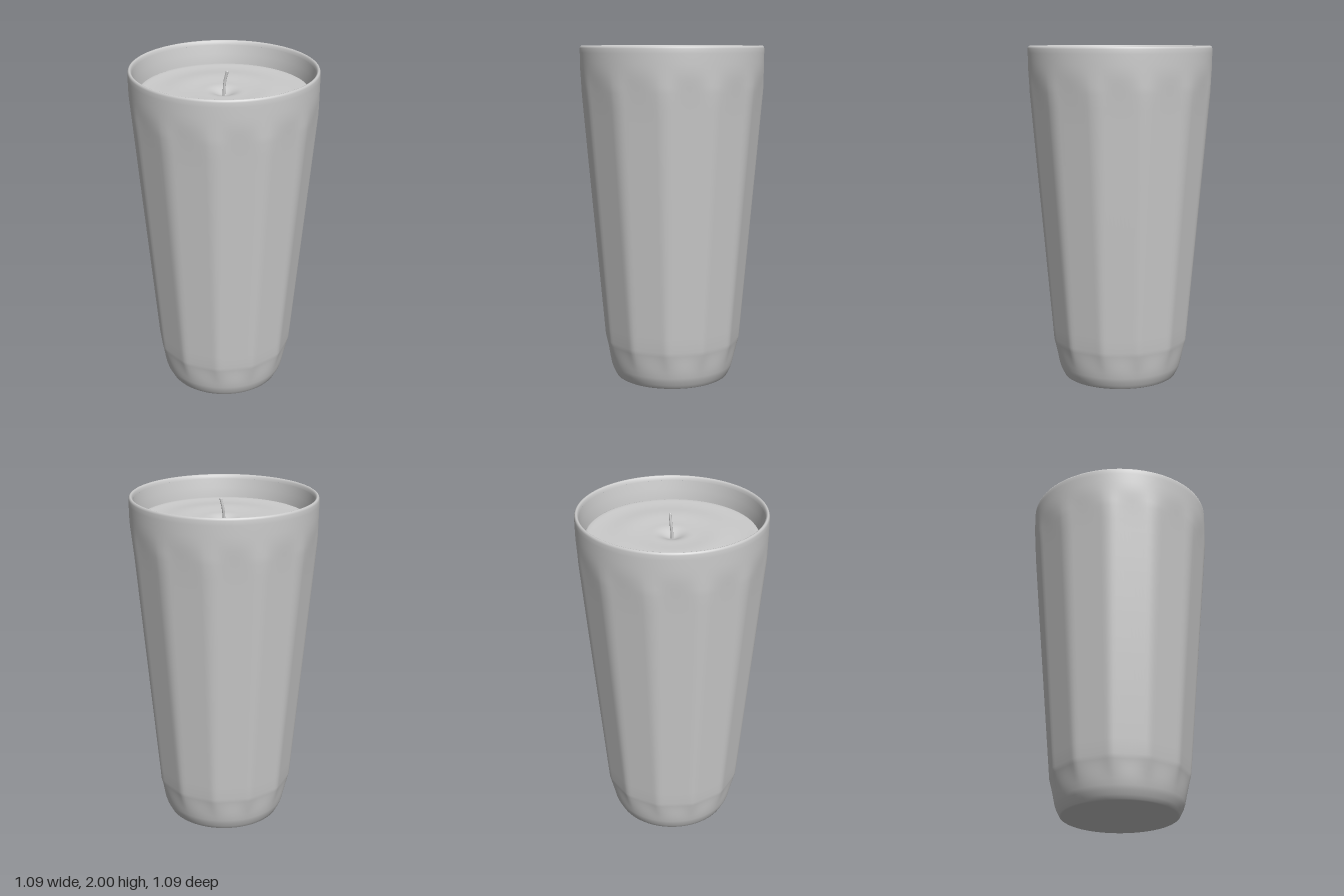
import * as THREE from 'three';
import { mergeVertices } from 'three/addons/utils/BufferGeometryUtils.js';

const material = new THREE.MeshStandardMaterial({ color: 0xcccccc, roughness: 0.7 });
const FACETS = 12;
const { smoothstep } = THREE.MathUtils;

// Surface of revolution with welded seam, optionally reshaped per vertex
function turned(points, segments, reshape) {
  const geo = new THREE.LatheGeometry(points.map(([r, y]) => new THREE.Vector2(r, y)), segments);
  const pos = geo.attributes.position;
  if (reshape) {
    const v = new THREE.Vector3();
    for (let i = 0; i < pos.count; i++) {
      v.fromBufferAttribute(pos, i);
      reshape(v);
      pos.setXYZ(i, v.x, v.y, v.z);
    }
  }
  geo.deleteAttribute('uv');
  geo.deleteAttribute('normal');
  const welded = mergeVertices(geo, 1e-5);
  welded.computeVertexNormals();
  return welded;
}

// Presses soft flat panels into the outer wall, fading out at rim and foot
function pressPanels(v) {
  const strength = smoothstep(v.y, 0.08, 0.24) * (1 - smoothstep(v.y, 1.7, 1.88));
  if (strength === 0) return; // base centre, foot and rim stay round
  const r = Math.hypot(v.x, v.z);
  const step = (Math.PI * 2) / FACETS;
  const angle = Math.atan2(v.x, v.z);
  const local = angle - Math.round(angle / step) * step;
  const flat = Math.min(r, (r - 0.012) / Math.cos(local));
  const k = THREE.MathUtils.lerp(1, flat / r, strength);
  v.x *= k;
  v.z *= k;
}

function mesh(name, geometry) {
  const m = new THREE.Mesh(geometry, material);
  m.name = name;
  return m;
}

export function createModel() {
  const model = new THREE.Group();
  model.name = 'candleInTumbler';

  // Outer shell: flat base, tapered foot, panelled wall
  const outer = [[0, 0], [0.32, 0], [0.334, 0.001], [0.342, 0.006], [0.352, 0.026], [0.364, 0.05], [0.372, 0.075]];
  for (let i = 0; i <= 5; i++) outer.push([0.38 + 0.0064 * i, 0.11 + 0.026 * i]);
  for (let i = 1; i <= 18; i++) outer.push([0.412 + 0.128 * (i / 18), 0.24 + 1.5 * (i / 18)]);
  outer.push([0.541, 1.78], [0.5415, 1.82], [0.542, 1.86], [0.5425, 1.9], [0.543, 1.96], [0.5425, 1.986]);
  // Rounded lip
  outer.push([0.539, 1.996], [0.533, 2], [0.527, 1.998], [0.521, 1.99], [0.518, 1.975]);
  model.add(mesh('tumblerOuter', turned(outer, 144, pressPanels)));

  // Smooth inner wall and floor
  const inner = [[0.518, 1.975], [0.508, 1.92], [0.5, 1.87], [0.494, 1.8], [0.36, 0.24], [0.33, 0.12], [0.3, 0.1], [0, 0.1]];
  model.add(mesh('tumblerInner', turned(inner, 96)));

  // Wax fill: rounded edge, faint ripple and a dip around the wick
  const wax = [[0, 0.11], [0.32, 0.125], [0.355, 0.25], [0.49, 1.8], [0.496, 1.845], [0.494, 1.857], [0.488, 1.865], [0.478, 1.869]];
  for (let i = 30; i >= 0; i--) {
    const r = 0.46 * (i / 30);
    const dip = 0.035 * Math.exp(-Math.pow(r / 0.065, 2));
    const ripple = 0.003 * Math.cos(r * 24) * smoothstep(r, 0.05, 0.15);
    wax.push([r, 1.868 - dip + ripple]);
  }
  model.add(mesh('wax', turned(wax, 96)));

  // Wick: thin cord leaning slightly to the side, with a closed tip
  const path = new THREE.CatmullRomCurve3([
    new THREE.Vector3(-0.002, 1.8, 0),
    new THREE.Vector3(0, 1.86, 0),
    new THREE.Vector3(0.006, 1.92, -0.003),
    new THREE.Vector3(0.018, 1.973, 0),
  ]);
  const wick = new THREE.Group();
  wick.name = 'wick';
  wick.add(mesh('wickCord', new THREE.TubeGeometry(path, 16, 0.008, 10)));
  const tip = mesh('wickTip', new THREE.SphereGeometry(0.008, 10, 8));
  tip.position.copy(path.getPoint(1));
  wick.add(tip);
  model.add(wick);

  return model;
}
